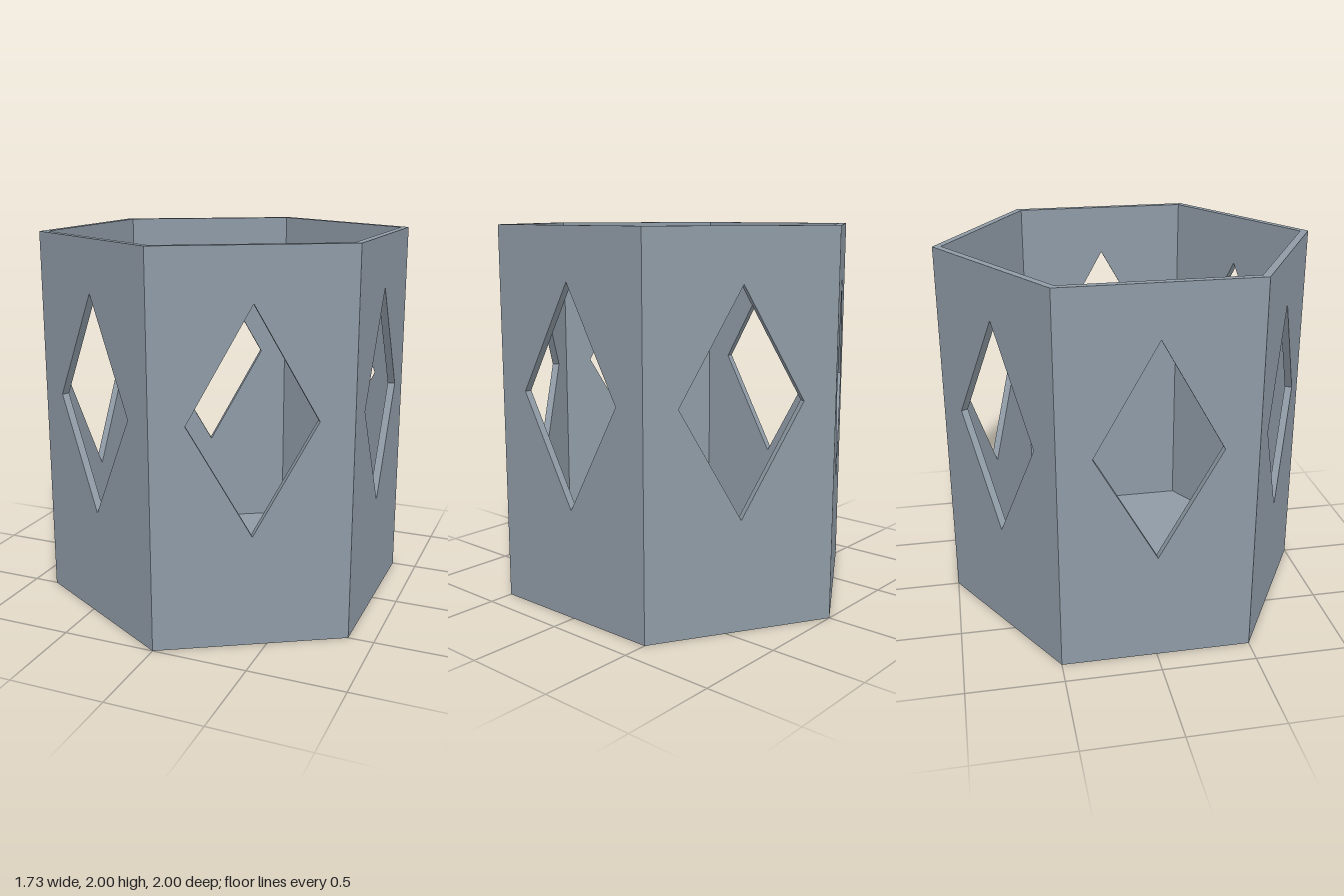
import * as THREE from 'three';
import { mergeGeometries } from 'three/addons/utils/BufferGeometryUtils.js';

const SIDES = 6, RADIUS = 1, HEIGHT = 2, THICK = 0.039;
const APOTHEM = RADIUS * Math.cos(Math.PI / SIDES);
const INNER = RADIUS * (APOTHEM - THICK) / APOTHEM;

// One wall panel with a diamond opening, its ends mitred to meet its neighbours
function panelGeometry() {
  const shape = new THREE.Shape([[-0.5, 0], [0.5, 0], [0.5, HEIGHT], [-0.5, HEIGHT]]
    .map(([x, y]) => new THREE.Vector2(x, y)));
  shape.holes.push(new THREE.Path([[0, 0.58], [-0.325, 1.155], [0, 1.73], [0.325, 1.155]]
    .map(([x, y]) => new THREE.Vector2(x, y))));
  const geo = new THREE.ExtrudeGeometry(shape, { depth: THICK, bevelEnabled: false });
  const p = geo.attributes.position;

  // Drop the hidden mitre faces and the underside, and narrow the inner face
  const kept = [];
  for (let i = 0; i < p.count; i += 3) {
    const tri = [i, i + 1, i + 2];
    const hidden = tri.every(j => p.getX(j) > 0.49) || tri.every(j => p.getX(j) < -0.49)
      || tri.every(j => p.getY(j) < 0.001);
    if (hidden) continue;
    for (const j of tri) {
      const narrow = p.getZ(j) < THICK / 2 && Math.abs(p.getX(j)) > 0.49;
      kept.push(p.getX(j) * (narrow ? INNER : 1), p.getY(j), p.getZ(j));
    }
  }
  const out = new THREE.BufferGeometry();
  out.setAttribute('position', new THREE.Float32BufferAttribute(kept, 3));
  out.computeVertexNormals();
  return out.translate(0, 0, APOTHEM - THICK);
}

export function createModel() {
  const group = new THREE.Group();
  group.name = 'hexagonalHolder';
  const blueGrey = new THREE.MeshStandardMaterial({ color: 0x8f9ba6 });
  blueGrey.name = 'blueGrey';

  const add = (name, geo) => {
    const mesh = new THREE.Mesh(geo, blueGrey);
    mesh.name = name;
    group.add(mesh);
  };

  // Six walls in a ring
  const panels = [];
  for (let i = 0; i < SIDES; i++) {
    panels.push(panelGeometry().rotateY((i + 0.5) * 2 * Math.PI / SIDES));
  }
  add('walls', mergeGeometries(panels));

  // Floor inside and base underneath
  const hexagon = r => new THREE.CircleGeometry(r, SIDES, Math.PI / 2);
  add('floor', hexagon(INNER).rotateX(-Math.PI / 2).translate(0, THICK, 0));
  add('base', hexagon(RADIUS).rotateX(Math.PI / 2));

  return group;
}
